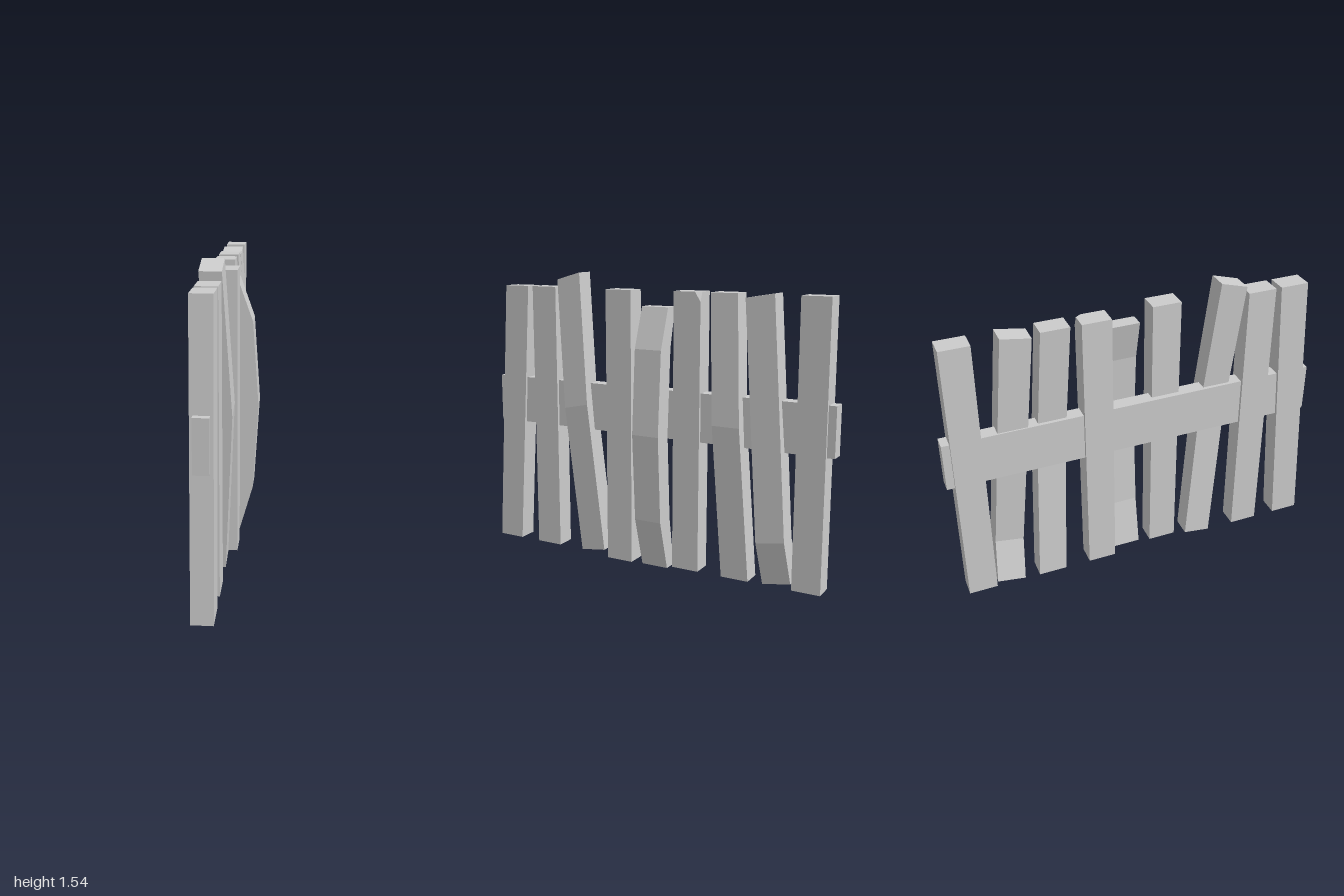
import * as THREE from 'three';
import { ConvexGeometry } from 'three/addons/geometries/ConvexGeometry.js';

const material = new THREE.MeshStandardMaterial({ color: 0xcccccc, flatShading: true });
const BACK = -0.12, FRONT = -0.015;

// Loft four-sided rings, bottom to top. Ring: [zNear, yNear, zFar, yFar, xBack, xFront]
function loft(rings) {
  const corners = rings.map(([za, ya, zb, yb, x0, x1]) => [
    [x0, ya, za], [x1, ya, za], [x1, yb, zb], [x0, yb, zb],
  ]);
  const out = [];
  const quad = (a, b, c, d) => out.push(...a, ...b, ...c, ...a, ...c, ...d);
  for (let r = 0; r < corners.length - 1; r++) {
    const lo = corners[r], hi = corners[r + 1];
    for (let i = 0; i < 4; i++) {
      const j = (i + 1) % 4;
      quad(lo[i], lo[j], hi[j], hi[i]);
    }
  }
  const first = corners[0], last = corners[corners.length - 1];
  quad(first[3], first[2], first[1], first[0]);
  quad(...last);
  const geometry = new THREE.BufferGeometry();
  geometry.setAttribute('position', new THREE.Float32BufferAttribute(out, 3));
  geometry.computeVertexNormals();
  return geometry;
}

// Plank between two slanted ends [zNear, yNear, zFar, yFar];
// bends are [fraction of height, x offset]
function plank(bottom, top, bends = [], shift = 0) {
  const stops = [[0, 0], ...bends, [1, 0]];
  return loft(stops.map(([t, dx]) => [
    ...bottom.map((v, i) => THREE.MathUtils.lerp(v, top[i], t)),
    BACK + shift + dx, FRONT + shift + dx,
  ]));
}

const straight = (zNear, zFar, shift = 0) =>
  plank([zNear, 0, zFar, 0], [zNear, 1.46, zFar, 1.46], [], shift);

export function createModel() {
  const group = new THREE.Group();
  const add = (name, geometry) => {
    const mesh = new THREE.Mesh(geometry, material);
    mesh.name = name;
    group.add(mesh);
    return mesh;
  };

  // Horizontal rail through the planks
  add('rail', new THREE.BoxGeometry(0.075, 0.255, 1.975)).position.set(-0.0675, 0.8225, -0.0125);

  // Upright planks
  add('endPlankFront', plank([1, 0, 0.85, 0], [0.91, 1.46, 0.76, 1.46]));
  add('secondPlank', straight(0.73, 0.58));
  add('leaningPlankFront',
    plank([0.43, 0, 0.285, 0.02], [0.565, 1.5, 0.425, 1.54], [[0.54, 0.04]]));
  add('fourthPlank', straight(0.235, 0.085, 0.043));
  add('endPlankBack', straight(-0.81, -0.96));
  add('leaningPlankMiddle',
    plank([-0.425, 0, -0.575, 0], [-0.345, 1.46, -0.49, 1.46], [[0.55, 0.043]]));
  add('leaningPlankBack',
    plank([-0.655, 0.005, -0.805, 0.03], [-0.53, 1.44, -0.68, 1.465], [[0.16, 0.055]]));

  // Short plank bowed outwards
  const bow = [[0, -0.06, 0.015], [0.27, -0.012, 0.092], [0.73, 0.015, 0.12],
    [1.17, -0.012, 0.09], [1.38, -0.06, 0.015]];
  add('bowedPlank', loft(bow.map(([y, x0, x1]) => [0.025, y, -0.125, y, x0, x1])));

  // Plank with one chipped top corner
  const chipped = [];
  for (const x of [BACK, FRONT]) for (const y of [0, 1.46]) for (const z of [-0.14, -0.29]) {
    if (x === FRONT && y > 0 && z === -0.29) {
      chipped.push([x, y, -0.26], [-0.035, y, z], [x, 1.41, z]);
    } else chipped.push([x, y, z]);
  }
  add('chippedPlank', new ConvexGeometry(chipped.map((p) => new THREE.Vector3(...p))));

  return group;
}
